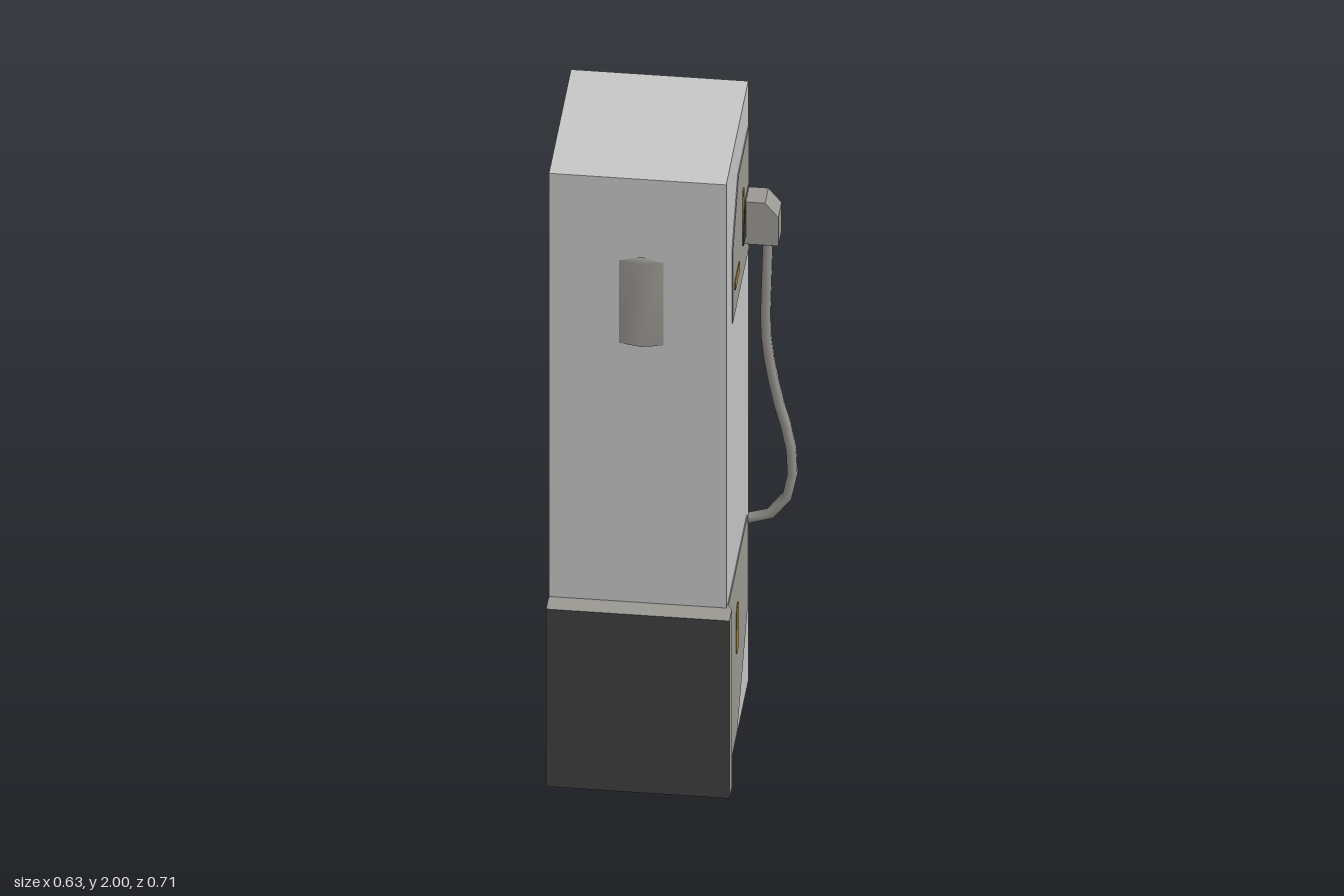
import * as THREE from 'three';

const mat = (name, color) => {
  const m = new THREE.MeshStandardMaterial({ color });
  m.name = name;
  return m;
};

export function createModel() {
  const group = new THREE.Group();
  const light = mat('lightGrey', 0xc8c8c8);
  const grey = mat('warmGrey', 0x9c9a94);
  const dark = mat('darkGrey', 0x404040);
  const ochre = mat('ochre', 0xa08440);

  const add = (name, geometry, material) => {
    const mesh = new THREE.Mesh(geometry, material);
    mesh.name = name;
    group.add(mesh);
    return mesh;
  };
  const box = (name, x0, x1, y0, y1, z0, z1, material) =>
    add(name, new THREE.BoxGeometry(x1 - x0, y1 - y0, z1 - z0)
      .translate((x0 + x1) / 2, (y0 + y1) / 2, (z0 + z1) / 2), material);
  const extrude = (shape, depth) =>
    new THREE.ExtrudeGeometry(shape, { depth, bevelEnabled: false, curveSegments: 6 });
  const polygon = (pts) => new THREE.Shape(pts.map(([a, b]) => new THREE.Vector2(a, b)));

  // Flat panel on the +x side, outlined by [z, y] points
  const sidePanel = (name, pts, x, thickness, material) =>
    add(name, extrude(polygon(pts.map(([z, y]) => [-z, y])), thickness)
      .rotateY(Math.PI / 2).translate(x, 0, 0), material);

  // Rounded strip lying on the +x side
  const strip = (name, z, y, length, width, angle) => {
    const r = width / 2, h = length / 2 - r;
    const s = new THREE.Shape();
    s.absarc(h, 0, r, -Math.PI / 2, Math.PI / 2);
    s.absarc(-h, 0, r, Math.PI / 2, Math.PI * 1.5);
    add(name, extrude(s, 0.002).rotateZ(angle).rotateY(Math.PI / 2).translate(0.178, y, z), ochre);
  };

  // Main column
  box('column', -0.32, 0.175, 0, 2, -0.235, 0.287, light);

  // Base cover: dark front, tapering back onto the column
  box('baseCover', -0.32, 0.192, 0, 0.592, 0.298, 0.355, [grey, grey, grey, grey, dark, grey]);
  const taper = new THREE.BoxGeometry(1, 1, 1);
  const p = taper.attributes.position;
  for (let i = 0; i < p.count; i++) {
    const front = p.getZ(i) > 0;
    p.setXYZ(i,
      p.getX(i) > 0 ? (front ? 0.192 : 0.177) : (front ? -0.32 : -0.31),
      p.getY(i) > 0 ? (front ? 0.592 : 0.58) : (front ? 0 : 0.02),
      front ? 0.298 : 0.255);
  }
  taper.computeVertexNormals();
  add('baseCoverTaper', taper, grey);

  // Side panels and their strips
  sidePanel('lowerSidePanel',
    [[0.26, 0.02], [0.055, 0.02], [-0.195, 0.27], [-0.195, 0.58], [0.26, 0.58]], 0.174, 0.004, grey);
  sidePanel('upperSidePanel',
    [[0.155, 1.45], [-0.225, 1.45], [-0.225, 1.855], [0.02, 1.855], [0.155, 1.69]], 0.174, 0.004, grey);
  strip('lowerStrip', 0.055, 0.37, 0.16, 0.052, Math.PI / 2 - 0.06);
  strip('upperStripFlat', 0.058, 1.545, 0.115, 0.036, 0);
  strip('upperStripUpright', -0.085, 1.67, 0.14, 0.028, Math.PI / 2 - 0.05);

  // Shallow ridge on the front
  const ridge = new THREE.BufferGeometry();
  ridge.setAttribute('position', new THREE.Float32BufferAttribute([
    -0.125, 1.45, 0.287, -0.0625, 1.45, 0.3, 0, 1.45, 0.287,
    -0.125, 1.725, 0.287, -0.0625, 1.725, 0.3, 0, 1.725, 0.287,
    -0.0625, 1.74, 0.287], 3));
  ridge.setIndex([0, 1, 4, 0, 4, 3, 1, 2, 5, 1, 5, 4, 3, 4, 6, 4, 5, 6, 0, 2, 1]);
  ridge.computeVertexNormals();
  add('frontRidge', ridge, grey);

  // Eight-sided lamp on the back: one lathe per profile step keeps edges crisp
  const lampPart = (name, a, b, material) =>
    add(name, new THREE.LatheGeometry([new THREE.Vector2(...a), new THREE.Vector2(...b)], 8)
      .rotateX(-Math.PI / 2).translate(-0.0625, 1.695, -0.235), material);
  const rim = [[0.22, 0], [0.22, 0.105], [0.185, 0.105], [0.18, 0.07]];
  for (let i = 0; i < 3; i++) lampPart('lampRim', rim[i], rim[i + 1], dark);
  lampPart('lampLens', [0.185, 0.074], [0, 0.121], grey);
  // Pale spot lying on the lens slope
  const spot = add('lampSpot', new THREE.CylinderGeometry(0.026, 0.026, 0.006, 12).rotateX(Math.PI / 2), light);
  spot.position.set(-0.102, 1.675, -0.345);
  spot.rotation.set(-0.11, -0.22, 0);

  // Hose holder on the side
  sidePanel('holderBackplate',
    [[-0.07, 1.56], [-0.21, 1.56], [-0.21, 1.67], [-0.1, 1.67], [-0.07, 1.61]], 0.177, 0.005, dark);
  add('holder', extrude(polygon([[0.176, 1.53], [0.272, 1.53], [0.272, 1.625], [0.235, 1.67], [0.176, 1.67]]), 0.077)
    .translate(0, 0, -0.202), grey);
  box('holderMouth', 0.18, 0.268, 1.527, 1.531, -0.198, -0.129, dark);

  // Hose connector on the back
  add('connector', extrude(polygon([[0.085, 0.22], [0.085, 0.285], [-0.02, 0.285], [-0.055, 0.255], [-0.055, 0.22]]), 0.075)
    .rotateX(-Math.PI / 2).translate(0, 0.48, 0), grey);
  box('connectorMouth', 0.084, 0.088, 0.482, 0.553, -0.284, -0.23, dark);

  // Hanging hose
  const path = new THREE.CatmullRomCurve3([
    [0.24, 1.54, -0.158], [0.235, 1.37, -0.16], [0.233, 1.2, -0.17], [0.258, 1.0, -0.19],
    [0.298, 0.8, -0.21], [0.291, 0.65, -0.222], [0.235, 0.565, -0.23], [0.18, 0.54, -0.238],
    [0.08, 0.525, -0.252],
  ].map((v) => new THREE.Vector3(...v)));
  add('hose', new THREE.TubeGeometry(path, 14, 0.016, 6), grey);

  return group;
}
